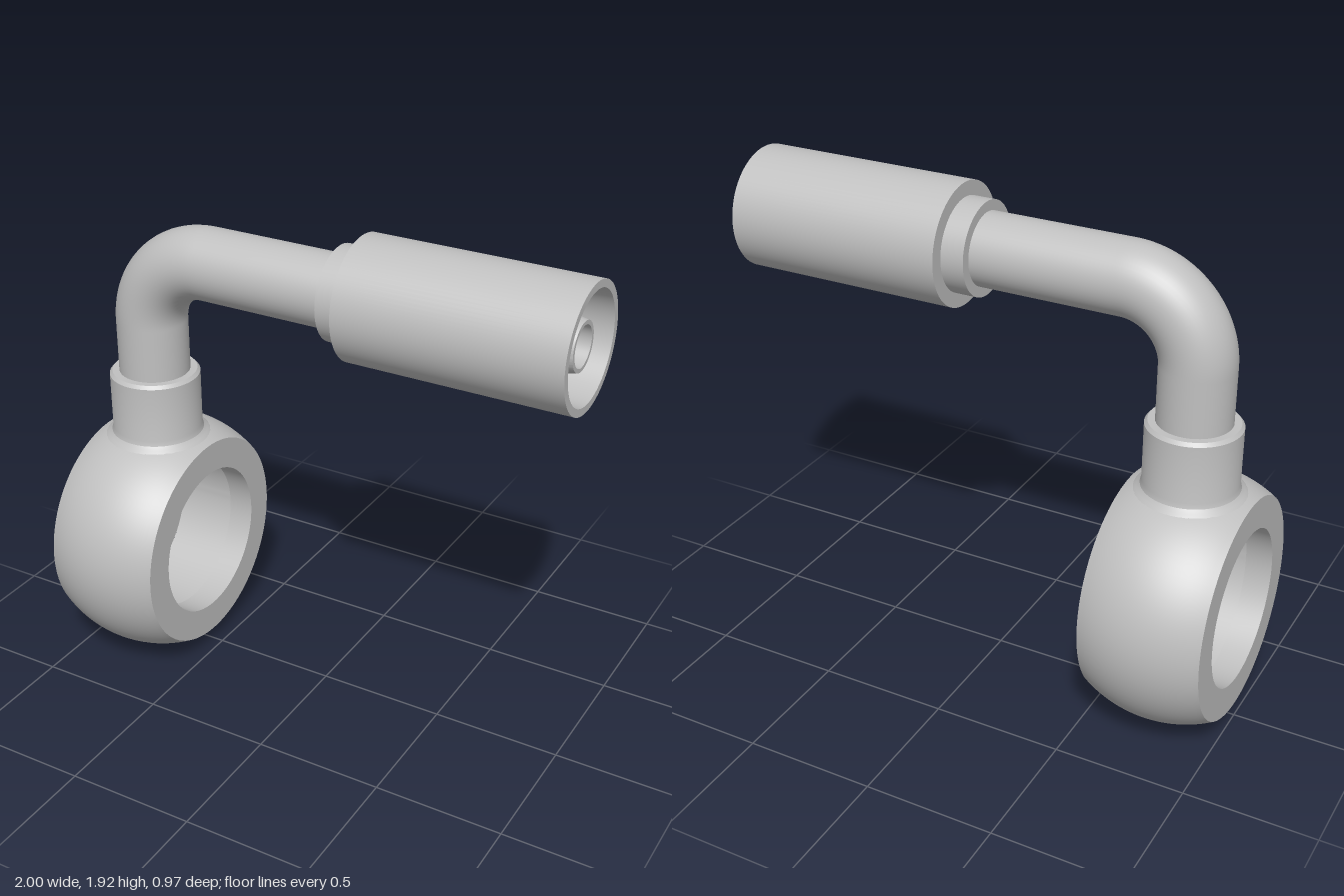
import * as THREE from 'three';
import { toCreasedNormals } from 'three/addons/utils/BufferGeometryUtils.js';

const AX = -0.767;  // x of the vertical axis
const EYE = 0.485;  // height of the ring centre
const PIPE = 1.684; // height of the horizontal axis

export function createModel() {
  const group = new THREE.Group();
  const steel = new THREE.MeshStandardMaterial({ color: 0xc0c0c0 });

  const add = (name, geometry) => {
    const mesh = new THREE.Mesh(geometry, steel);
    mesh.name = name;
    group.add(mesh);
    return mesh;
  };
  // Turned part; points are [radius, distance along axis]
  const turned = (points, start = 0, sweep = Math.PI * 2) => toCreasedNormals(
    new THREE.LatheGeometry(points.map(p => new THREE.Vector2(...p)), 96, start, sweep), 0.45);

  // Ring: spherical outside, stepped bore with a wide groove
  const R = 0.485, half = 0.233, bore = 0.302, groove = 0.335, gw = 0.13, gap = 0.4;
  const profile = [[groove, -gw], [bore, -gw], [bore, -half]];
  const limit = Math.asin(half / R);
  for (let i = 0; i <= 20; i++) {
    const a = -limit + 2 * limit * i / 20;
    profile.push([R * Math.cos(a), R * Math.sin(a)]);
  }
  profile.push([bore, half], [bore, gw], [groove, gw]);
  add('eyeRing', turned(profile).rotateZ(-Math.PI / 2)).position.set(AX, EYE, 0);
  add('grooveWall', turned([[groove, gw], [groove, -gw]], Math.PI * 1.5 + gap, Math.PI * 2 - 2 * gap)
    .rotateZ(-Math.PI / 2)).position.set(AX, EYE, 0);

  // Top of the groove wall, pierced by the round port
  const port = 0.075;
  const patch = new THREE.PlaneGeometry(1, 1, 64, 6);
  const pos = patch.attributes.position;
  for (let i = 0; i < pos.count; i++) {
    const a = -pos.getX(i) * Math.PI * 2, t = pos.getY(i) + 0.5;
    const c = Math.cos(a), s = Math.sin(a);
    const r = THREE.MathUtils.lerp(port, gw / Math.max(Math.abs(c), Math.abs(s)), t);
    const bend = r * s / gw * gap;
    pos.setXYZ(i, r * c, groove * Math.cos(bend), groove * Math.sin(bend));
  }
  patch.computeVertexNormals();
  add('portWall', patch).position.set(AX, EYE, 0);

  // Neck with a flared foot and a chamfered shoulder
  add('neck', turned([[0.225, 0.9], [0.21, 0.921], [0.193, 0.932], [0.181, 0.946], [0.176, 0.965],
    [0.176, 1.187], [0.165, 1.2], [0.13, 1.2]])).position.x = AX;

  // Bent pipe and its passage
  const path = (y0, x1) => {
    const bend = 0.272, k = bend * 0.5523;
    const curve = new THREE.CurvePath();
    const v = (x, y) => new THREE.Vector3(x, y, 0);
    const a = v(AX, PIPE - bend), b = v(AX + bend, PIPE);
    curve.add(new THREE.LineCurve3(v(AX, y0), a));
    curve.add(new THREE.CubicBezierCurve3(a, v(AX, PIPE - bend + k), v(AX + bend - k, PIPE), b));
    curve.add(new THREE.LineCurve3(b, v(x1, PIPE)));
    return curve;
  };
  add('bentPipe', new THREE.TubeGeometry(path(1.1, 0.1), 100, 0.138, 48));
  const passage = new THREE.TubeGeometry(path(0.815, 0.97), 160, port, 40);
  passage.index.array.reverse();
  passage.attributes.normal.array.forEach((n, i, arr) => { arr[i] = -n; });
  add('passage', passage);

  // Crimp sleeve with a stepped back and a tapered socket
  add('sleeve', turned([[0.13, 0.055], [0.177, 0.055], [0.177, 0.145], [0.232, 0.145],
    [0.232, 1], [0.203, 1], [0.18, 0.35], [0.1, 0.35]]).rotateZ(-Math.PI / 2)).position.y = PIPE;

  // Hose nipple inside the socket
  add('nipple', turned([[0.115, 0.35], [0.113, 0.85], [0.09, 0.97], [port, 0.97]])
    .rotateZ(-Math.PI / 2)).position.y = PIPE;

  return group;
}
